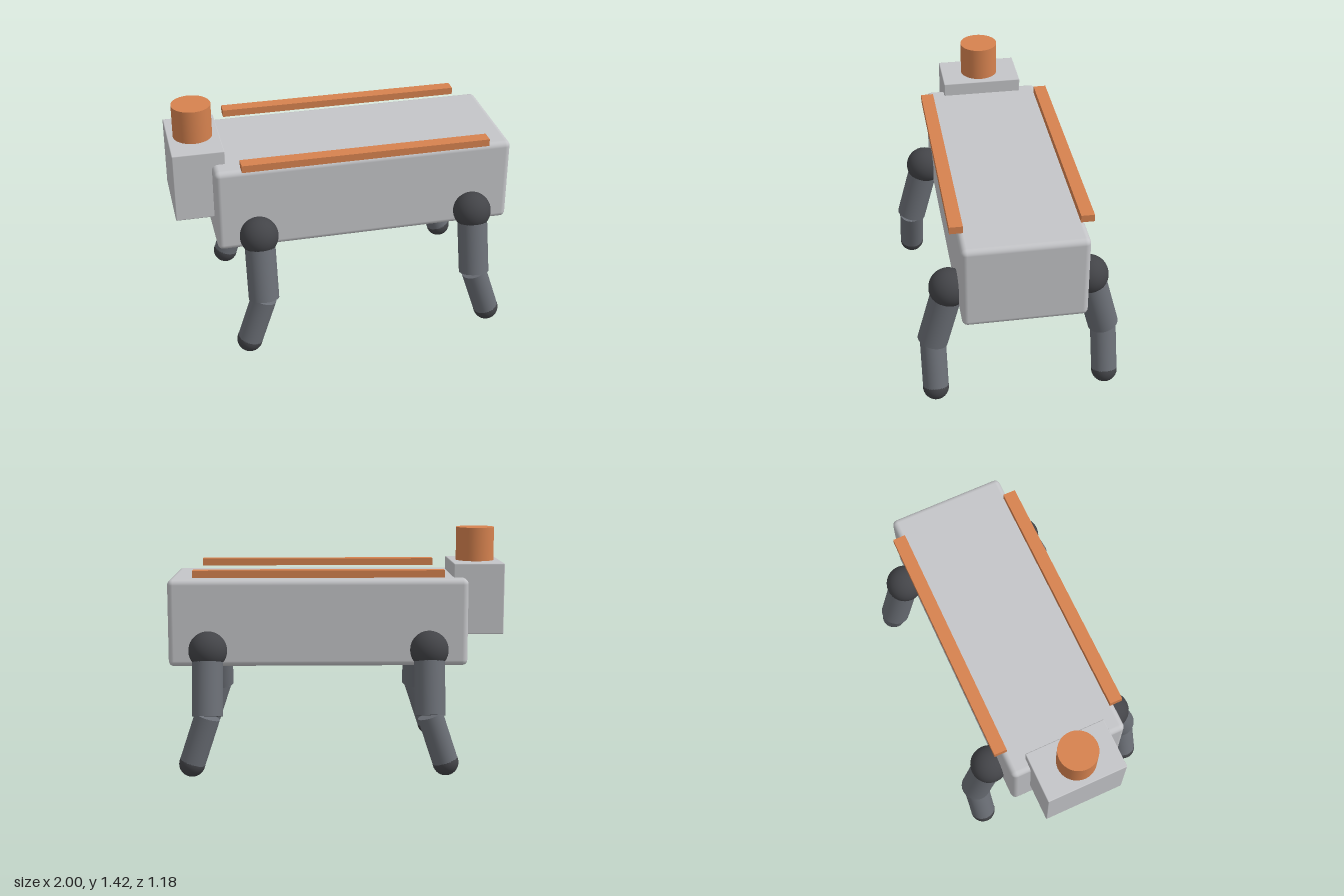
import * as THREE from 'three';
import { RoundedBoxGeometry } from 'three/addons/geometries/RoundedBoxGeometry.js';

const material = (name, color) => {
  const m = new THREE.MeshStandardMaterial({ color });
  m.name = name;
  return m;
};

export function createModel() {
  const shell = material('light grey shell', 0xc4c5c8);
  const orange = material('orange', 0xd6824f);
  const limb = material('limb grey', 0x6a6e75);
  const joint = material('dark joint', 0x434448);

  const model = new THREE.Group();
  model.name = 'quadrupedRobot';

  const add = (parent, name, geometry, mat, x, y, z) => {
    const mesh = new THREE.Mesh(geometry, mat);
    mesh.name = name;
    mesh.position.set(x, y, z);
    parent.add(mesh);
    return mesh;
  };

  // Cylinder running between two points
  const rod = (parent, name, a, b, radius, mat) => {
    const dir = b.clone().sub(a);
    const mid = a.clone().add(b).multiplyScalar(0.5);
    const mesh = add(parent, name, new THREE.CylinderGeometry(radius, radius, dir.length(), 32), mat, mid.x, mid.y, mid.z);
    mesh.quaternion.setFromUnitVectors(new THREE.Vector3(0, 1, 0), dir.normalize());
  };

  // Body, head and sensor
  add(model, 'body', new RoundedBoxGeometry(1.77, 0.515, 0.71, 3, 0.033), shell, 0.11, 0.882, 0);
  add(model, 'head', new RoundedBoxGeometry(0.304, 0.425, 0.488, 2, 0.006), shell, -0.848, 1.009, 0);
  add(model, 'sensor', new THREE.CylinderGeometry(0.115, 0.115, 0.205, 40), orange, -0.85, 1.32, 0);

  for (const side of [1, -1]) {
    // Rail along the top edge
    add(model, 'rail', new THREE.BoxGeometry(1.465, 0.043, 0.076), orange, 0.108, 1.177, side * 0.362);

    // Legs splay outwards, then bend towards the ends of the body
    for (const [x, bend] of [[-0.54, -0.093], [0.757, 0.093]]) {
      const leg = new THREE.Group();
      leg.name = 'leg';
      model.add(leg);
      const hip = new THREE.Vector3(x, 0.73, side * 0.404);
      const knee = new THREE.Vector3(x, 0.36, side * 0.503);
      const foot = new THREE.Vector3(x + bend, 0.078, side * 0.503);
      add(leg, 'hip', new THREE.SphereGeometry(0.113, 32, 20), joint, hip.x, hip.y, hip.z);
      rod(leg, 'upperLeg', hip, knee, 0.09, limb);
      rod(leg, 'lowerLeg', knee, foot, 0.0755, limb);
      add(leg, 'foot', new THREE.SphereGeometry(0.0765, 32, 20), joint, foot.x, foot.y, foot.z);
    }
  }
  return model;
}
